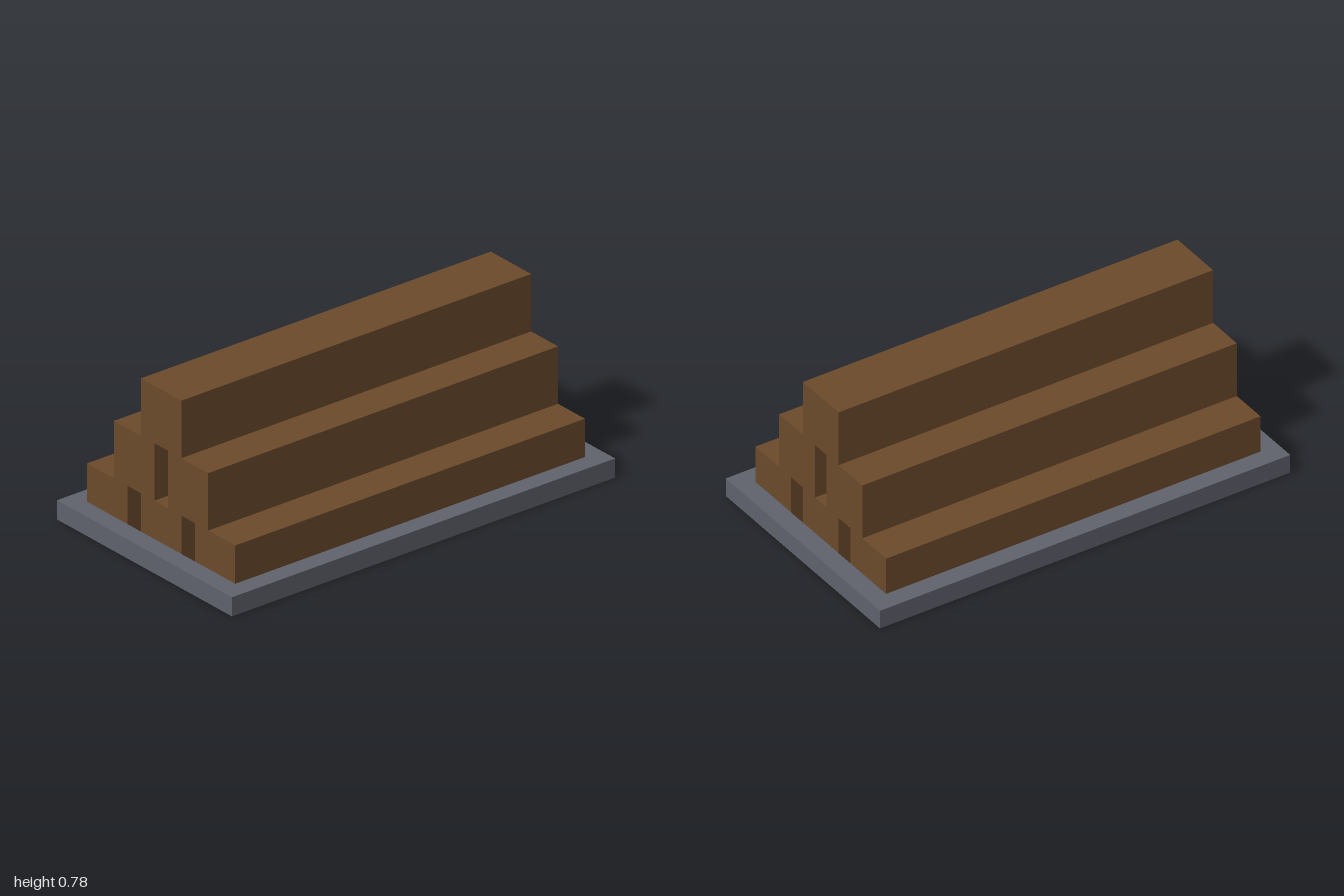
import * as THREE from 'three';

const U = 2 / 23;       // one module of the design
const BEAM = 3 * U;     // beam thickness
const LENGTH = 21 * U;  // beam length

export function createModel() {
  const model = new THREE.Group();
  const wood = new THREE.MeshStandardMaterial({ color: 0x6b4a2b });
  wood.name = 'brown wood';
  const stone = new THREE.MeshStandardMaterial({ color: 0x5f626c });
  stone.name = 'grey stone';

  // Open rectangular frame surrounding the lowest beams
  const rect = (path, x, z) => path
    .moveTo(-x, -z).lineTo(x, -z).lineTo(x, z).lineTo(-x, z).closePath();
  const outline = new THREE.Shape();
  rect(outline, 6.5 * U, 1);
  const opening = new THREE.Path();
  rect(opening, 5.5 * U, LENGTH / 2);
  outline.holes.push(opening);
  const frameGeometry = new THREE.ExtrudeGeometry(outline, { depth: U, bevelEnabled: false });
  frameGeometry.rotateX(-Math.PI / 2);
  const frame = new THREE.Mesh(frameGeometry, stone);
  frame.name = 'baseFrame';
  model.add(frame);

  // Stacked beams: three, two, one, with one-module gaps between them
  const beamGeometry = new THREE.BoxGeometry(BEAM, BEAM, LENGTH);
  const stack = new THREE.Group();
  stack.name = 'beamStack';
  for (let row = 0; row < 3; row++) {
    const count = 3 - row;
    for (let i = 0; i < count; i++) {
      const beam = new THREE.Mesh(beamGeometry, wood);
      beam.name = `beamRow${row + 1}Number${i + 1}`;
      beam.position.set((i - (count - 1) / 2) * (BEAM + U), (row + 0.5) * BEAM, 0);
      stack.add(beam);
    }
  }
  model.add(stack);

  return model;
}
